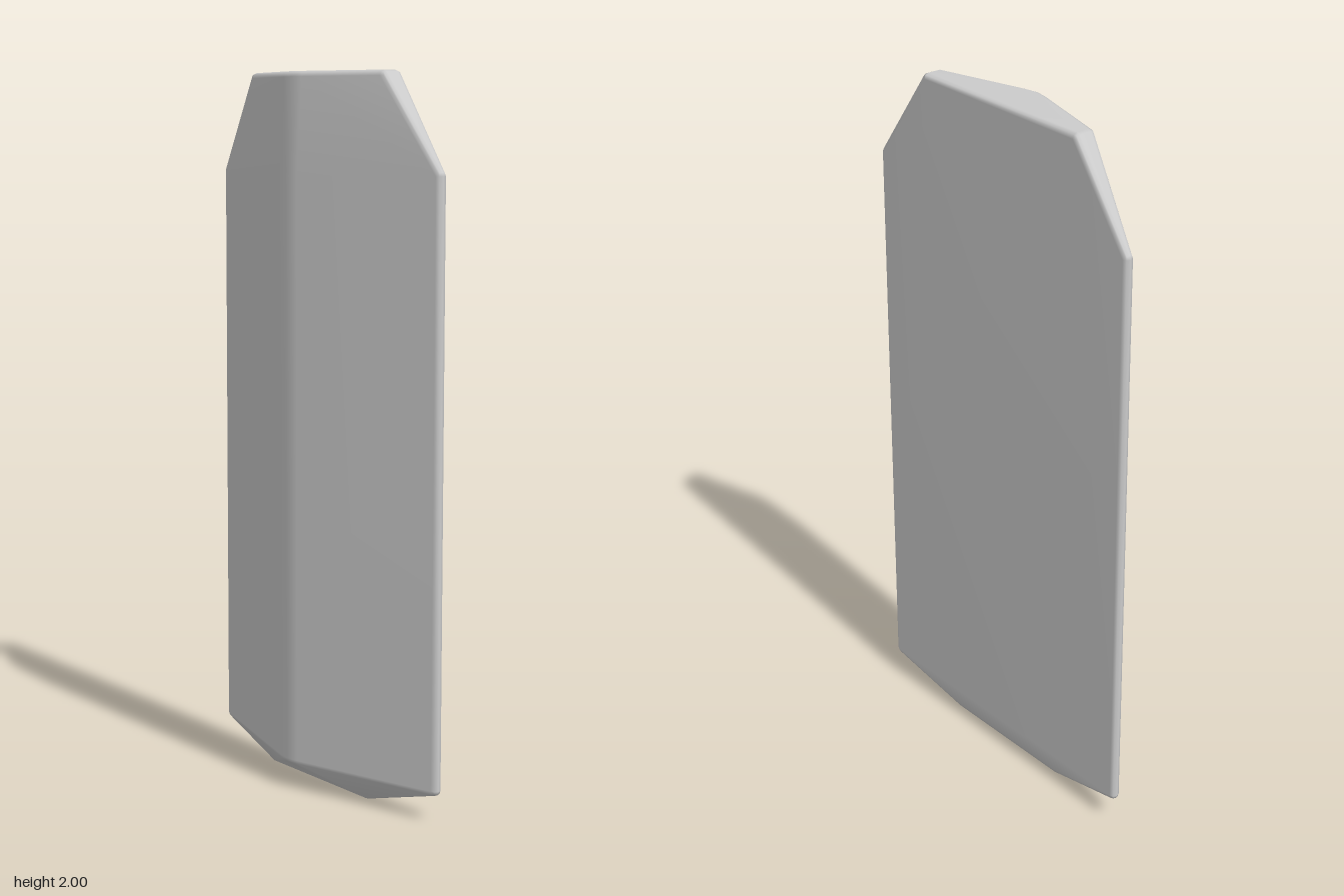
import * as THREE from 'three';
import { ConvexGeometry } from 'three/addons/geometries/ConvexGeometry.js';
import { mergeVertices } from 'three/addons/utils/BufferGeometryUtils.js';

const BEVEL = 0.015;

// Directions of a small bevel ball: the 26 neighbours of a cube, normalised
function ballDirections() {
  const dirs = [];
  for (let i = -1; i <= 1; i++)
    for (let j = -1; j <= 1; j++)
      for (let k = -1; k <= 1; k++)
        if (i || j || k) dirs.push(new THREE.Vector3(i, j, k).normalize());
  return dirs;
}

// Convex solid with softened edges, spanned between bevel balls at its corners
function roundedHull(corners) {
  const dirs = ballDirections();
  const points = corners.flatMap(([x, y, z]) =>
    dirs.map((d) => new THREE.Vector3(x, y, z).addScaledVector(d, BEVEL)));
  let geometry = new ConvexGeometry(points);
  geometry.deleteAttribute('normal');
  geometry = mergeVertices(geometry, 1e-5);
  geometry.computeVertexNormals(); // area weighted: flat faces, soft bevels
  return geometry;
}

export function createModel() {
  const group = new THREE.Group();
  group.name = 'shield';

  // Ridge line down the middle of the front
  const corners = [
    [0, 1.985, 0.05],
    [0, 1.72, 0.065],
    [0, 0.085, 0.065],
  ];
  // Corners mirrored on both sides
  const half = [
    [0.04, 1.985, 0.043], [0.04, 1.72, 0.058], [0.04, 0.085, 0.058], // blunted ridge
    [0.295, 1.985, -0.028], [0.295, 1.985, -0.065],                  // top edge
    [0.485, 1.725, -0.065], [0.485, 0.087, -0.065],                  // thin side edge
    [0.22, 0.015, -0.042],                                           // bottom edge
  ];
  for (const [x, y, z] of half) corners.push([x, y, z], [-x, y, z]);

  const plate = new THREE.Mesh(
    roundedHull(corners),
    new THREE.MeshStandardMaterial({ color: 0xcccccc })
  );
  plate.name = 'shieldPlate';
  group.add(plate);
  return group;
}
